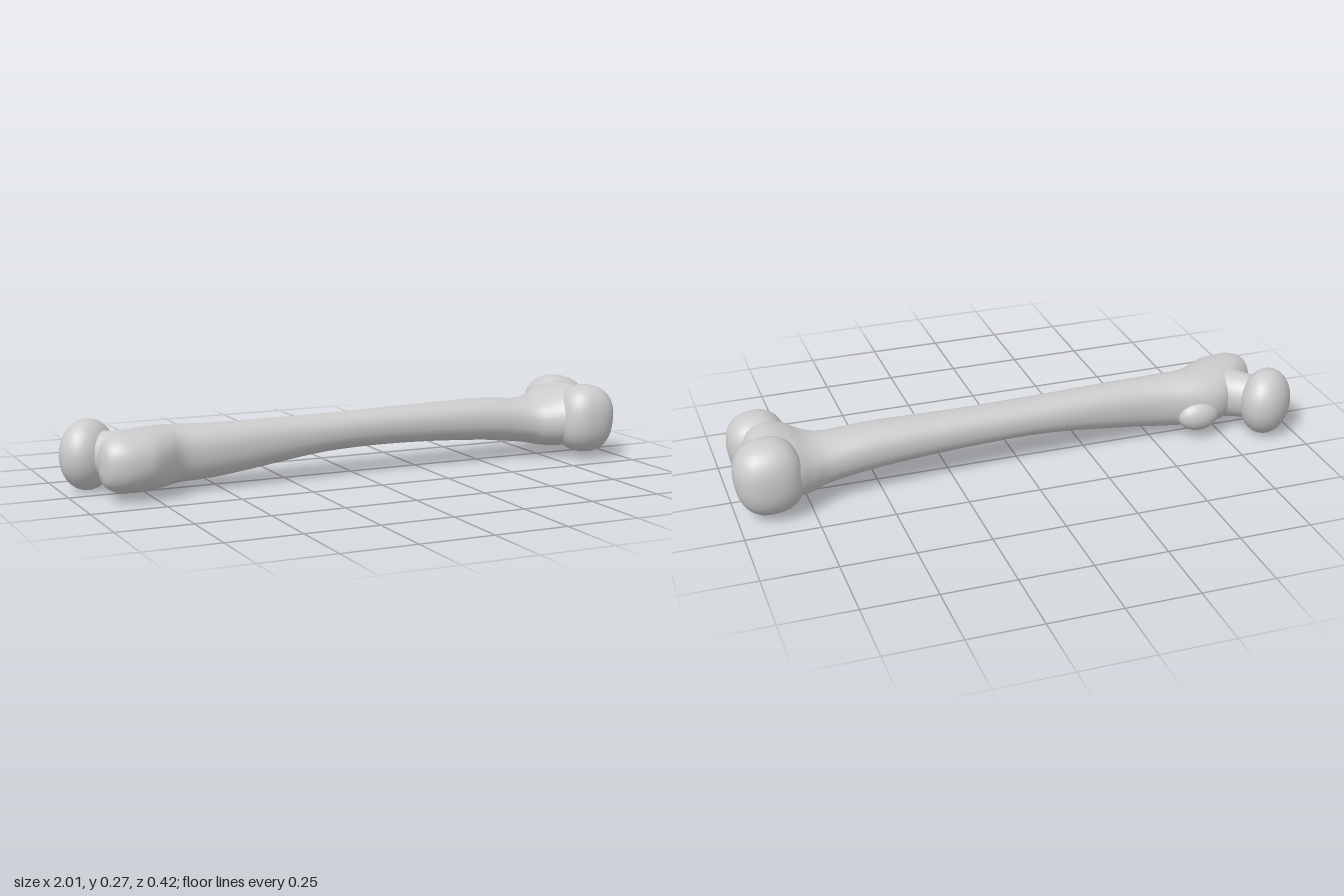
import * as THREE from 'three';
import { mergeVertices } from 'three/addons/utils/BufferGeometryUtils.js';

const material = new THREE.MeshStandardMaterial({ color: 0xcccccc, roughness: 0.8 });

// Smooth closed loft along x. Each station: [x, bottom, top, back, front].
function loft(name, stations, power = 2, steps = 5, sides = 36) {
  const yCurve = new THREE.CatmullRomCurve3(
    stations.map(([x, b, t]) => new THREE.Vector3(x, b, t)), false, 'catmullrom', 0.5);
  const zCurve = new THREE.CatmullRomCurve3(
    stations.map(([x, , , b, f]) => new THREE.Vector3(x, b, f)), false, 'catmullrom', 0.5);
  const rows = (stations.length - 1) * steps;
  const round = (v) => Math.sign(v) * Math.abs(v) ** (2 / power);
  const pos = [], index = [], poles = [];
  for (let i = 0; i <= rows; i++) {
    const h = yCurve.getPoint(i / rows), w = zCurve.getPoint(i / rows);
    const cy = (h.y + h.z) / 2, cz = (w.y + w.z) / 2;
    if (i === 0 || i === rows) poles.push(h.x, cy, cz);
    for (let j = 0; j < sides; j++) {
      const a = (j / sides) * Math.PI * 2;
      pos.push(h.x, cy + round(Math.cos(a)) * (h.z - h.y) / 2, cz + round(Math.sin(a)) * (w.z - w.y) / 2);
    }
  }
  const first = pos.length / 3, last = rows * sides;
  pos.push(...poles);
  for (let j = 0; j < sides; j++) {
    const k = (j + 1) % sides;
    for (let i = 0; i < rows; i++) {
      const p = i * sides, q = p + sides;
      index.push(p + j, p + k, q + j, p + k, q + k, q + j);
    }
    index.push(first, k, j, first + 1, last + j, last + k);
  }
  const geo = new THREE.BufferGeometry();
  geo.setAttribute('position', new THREE.Float32BufferAttribute(pos, 3));
  geo.setIndex(index);
  geo.computeVertexNormals();
  const mesh = new THREE.Mesh(geo, material);
  mesh.name = name;
  return mesh;
}

// Rounded lump: a sphere pushed towards a box by the power, then sized.
function lump(name, center, radii, power = 2) {
  let geo = new THREE.SphereGeometry(1, 36, 24);
  geo.deleteAttribute('uv');
  geo.deleteAttribute('normal');
  geo = mergeVertices(geo, 1e-4);
  const p = geo.attributes.position, v = new THREE.Vector3();
  for (let i = 0; i < p.count; i++) {
    v.fromBufferAttribute(p, i);
    const s = v.toArray().reduce((sum, c) => sum + Math.abs(c) ** power, 0) ** (-1 / power);
    p.setXYZ(i, v.x * s * radii[0], v.y * s * radii[1], v.z * s * radii[2]);
  }
  geo.computeVertexNormals();
  const mesh = new THREE.Mesh(geo, material);
  mesh.name = name;
  mesh.position.set(...center);
  return mesh;
}

export function createModel() {
  const bone = new THREE.Group();
  bone.name = 'thighBone';

  // Shaft with the large knob at the hip end and the flare at the knee end
  bone.add(loft('shaft', [
    [-0.925, 0.09, 0.15, 0.09, 0.13],
    [-0.91, 0.05, 0.19, 0.05, 0.165],
    [-0.87, 0.027, 0.212, 0.01, 0.188],
    [-0.82, 0.02, 0.218, -0.04, 0.196],
    [-0.76, 0.018, 0.22, -0.08, 0.187],
    [-0.70, 0.02, 0.219, -0.09, 0.15],
    [-0.64, 0.025, 0.216, -0.083, 0.113],
    [-0.54, 0.03, 0.213, -0.064, 0.106],
    [-0.40, 0.046, 0.212, -0.055, 0.098],
    [-0.10, 0.082, 0.211, -0.065, 0.079],
    [0.20, 0.085, 0.214, -0.08, 0.065],
    [0.50, 0.07, 0.218, -0.1, 0.073],
    [0.67, 0.05, 0.207, -0.118, 0.088],
    [0.74, 0.036, 0.215, -0.148, 0.122],
    [0.80, 0.03, 0.242, -0.18, 0.16],
    [0.86, 0.035, 0.256, -0.185, 0.17],
    [0.91, 0.05, 0.243, -0.16, 0.15],
    [0.935, 0.075, 0.215, -0.13, 0.12],
    [0.945, 0.11, 0.18, -0.08, 0.08],
  ], 2.25));

  // Small knob below the neck
  const knob = lump('smallKnob', [-0.66, 0.085, -0.068], [0.075, 0.055, 0.046]);
  bone.add(knob);

  // Neck and flattened ball, aimed diagonally backwards from the hip end
  const hip = new THREE.Group();
  hip.name = 'hipJoint';
  hip.position.set(-0.905, 0.118, -0.1);
  hip.rotation.y = 0.25 * Math.PI * -1;
  hip.add(loft('neck', [
    [-0.04, -0.06, 0.06, -0.05, 0.05],
    [0.04, -0.075, 0.08, -0.066, 0.068],
    [0.1, -0.08, 0.085, -0.074, 0.078],
    [0.16, -0.085, 0.09, -0.09, 0.09],
    [0.22, -0.06, 0.06, -0.06, 0.06],
  ]));
  hip.add(lump('ball', [0, 0, 0], [0.085, 0.118, 0.112], 2.05));
  bone.add(hip);

  // Pair of rounded knuckles at the knee end
  const backKnuckle = lump('backKnuckle', [0.885, 0.139, -0.105], [0.115, 0.127, 0.104], 2.4);
  const frontKnuckle = lump('frontKnuckle', [0.878, 0.14, 0.108], [0.103, 0.121, 0.099], 2.4);
  backKnuckle.rotation.z = -0.12;
  frontKnuckle.rotation.z = -0.12;
  bone.add(backKnuckle, frontKnuckle);

  return bone;
}
